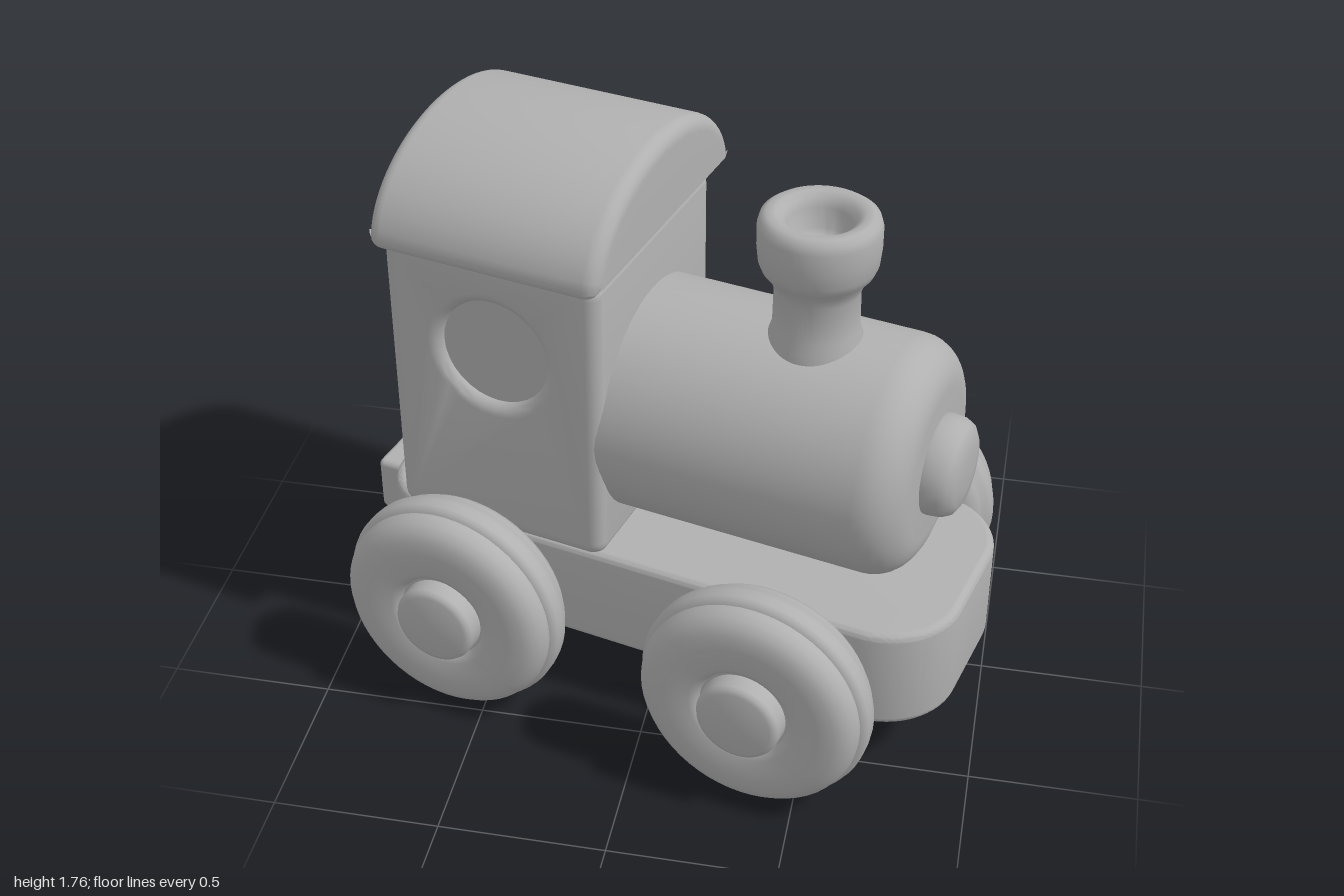
import * as THREE from 'three';
import { toCreasedNormals } from 'three/addons/utils/BufferGeometryUtils.js';
import { RoundedBoxGeometry } from 'three/addons/geometries/RoundedBoxGeometry.js';

// Rounded rectangle between two corners
function roundedRect(x0, y0, x1, y1, r0, r1 = r0) {
  const s = new THREE.Shape();
  s.moveTo(x0 + r0, y0);
  s.lineTo(x1 - r1, y0);
  s.absarc(x1 - r1, y0 + r1, r1, -Math.PI / 2, 0);
  s.lineTo(x1, y1 - r1);
  s.absarc(x1 - r1, y1 - r1, r1, 0, Math.PI / 2);
  s.lineTo(x0 + r0, y1);
  s.absarc(x0 + r0, y1 - r0, r0, Math.PI / 2, Math.PI);
  s.lineTo(x0, y0 + r0);
  s.absarc(x0 + r0, y0 + r0, r0, Math.PI, Math.PI * 1.5);
  return s;
}

// Softly bevelled extrusion, centred on z, with the outline kept at its full size
function softExtrude(shape, width, bevel) {
  const depth = width - 2 * bevel;
  const g = new THREE.ExtrudeGeometry(shape, {
    depth, bevelEnabled: true, bevelSize: bevel, bevelThickness: bevel,
    bevelOffset: -bevel, bevelSegments: 6, curveSegments: 16,
  });
  g.translate(0, 0, -depth / 2);
  return g;
}

// Turned part from [radius, height] pairs, listed from bottom to top
function turned(points) {
  const g = new THREE.LatheGeometry(points.map(([r, y]) => new THREE.Vector2(r, y)), 56);
  return toCreasedNormals(g, 0.85);
}

export function createModel() {
  const model = new THREE.Group();
  const train = new THREE.Group();
  train.name = 'toyTrain';
  train.rotation.y = -THREE.MathUtils.degToRad(14);
  model.add(train);

  const grey = new THREE.MeshStandardMaterial({ color: 0xb0b0b0 });
  grey.name = 'plainGrey';

  function add(name, geometry, x = 0, y = 0, z = 0, parent = train) {
    const mesh = new THREE.Mesh(geometry, grey);
    mesh.name = name;
    mesh.position.set(x, y, z);
    parent.add(mesh);
    return mesh;
  }

  // Chassis with rounded ends, and the rear hitch
  const chassis = softExtrude(roundedRect(-0.86, -0.365, 0.99, 0.365, 0.2, 0.23), 0.34, 0.025);
  chassis.rotateX(-Math.PI / 2);
  add('chassis', toCreasedNormals(chassis, 0.6), 0, 0.38, 0);
  add('hitch', new RoundedBoxGeometry(0.24, 0.19, 0.3, 3, 0.02), -0.885, 0.345, -0.04);

  // Cab with a round recess through both sides, filled by the window discs
  const cabShape = roundedRect(-0.345, 0.53, 0.345, 1.49, 0.05);
  const opening = new THREE.Path();
  opening.absarc(0, 1.17, 0.17, 0, Math.PI * 2, true);
  cabShape.holes.push(opening);
  add('cab', toCreasedNormals(softExtrude(cabShape, 0.77, 0.04), 0.6), -0.405, 0, -0.02);
  const windows = new THREE.CylinderGeometry(0.175, 0.175, 0.71, 48);
  windows.rotateX(Math.PI / 2);
  add('cabWindows', windows, -0.405, 1.17, -0.02);

  // Arched roof
  const arch = new THREE.Shape();
  arch.moveTo(-0.43, 1.48);
  arch.lineTo(0.43, 1.48);
  arch.quadraticCurveTo(0.455, 1.48, 0.455, 1.51);
  arch.bezierCurveTo(0.43, 1.66, 0.24, 1.775, 0, 1.775);
  arch.bezierCurveTo(-0.24, 1.775, -0.43, 1.66, -0.455, 1.51);
  arch.quadraticCurveTo(-0.455, 1.48, -0.43, 1.48);
  const roof = softExtrude(arch, 0.73, 0.045);
  roof.rotateY(Math.PI / 2);
  add('roof', toCreasedNormals(roof, 0.6), -0.395, 0, -0.03);

  // Boiler with a rounded front edge
  const boilerProfile = [[0, -0.2], [0.36, -0.2], [0.36, 0.71]];
  for (let i = 1; i <= 8; i++) {
    const a = (i / 8) * Math.PI / 2;
    boilerProfile.push([0.23 + 0.13 * Math.cos(a), 0.71 + 0.13 * Math.sin(a)]);
  }
  boilerProfile.push([0, 0.84]);
  const boiler = turned(boilerProfile);
  boiler.rotateZ(-Math.PI / 2);
  add('boiler', boiler, 0, 0.932, 0);

  // Round button on the nose
  const nose = turned([[0, 0.79], [0.13, 0.79], [0.147, 0.81], [0.152, 0.85], [0.148, 0.89],
    [0.135, 0.915], [0.11, 0.93], [0.06, 0.936], [0, 0.938]]);
  nose.rotateZ(-Math.PI / 2);
  add('noseCap', nose, 0, 0.935, 0);

  // Chimney with a flared, hollow top
  add('chimney', turned([[0.14, 1.2], [0.135, 1.29], [0.125, 1.32], [0.123, 1.44], [0.135, 1.475],
    [0.16, 1.505], [0.17, 1.53], [0.175, 1.58], [0.175, 1.64], [0.168, 1.665], [0.15, 1.678],
    [0.125, 1.678], [0.105, 1.665], [0.092, 1.64], [0.085, 1.58], [0.07, 1.565], [0, 1.56]]),
  0.457, 0, 0.015);

  // Wheel: two rounded rims, a raised middle band, and a hub set in a shallow groove
  const wheelGeometry = turned([[0, -0.11], [0.24, -0.11], [0.29, -0.105], [0.32, -0.09],
    [0.337, -0.065], [0.34, -0.045], [0.352, -0.035], [0.355, -0.015], [0.355, 0.015],
    [0.35, 0.03], [0.336, 0.036], [0.338, 0.055], [0.33, 0.08], [0.312, 0.1], [0.285, 0.113],
    [0.24, 0.117], [0.165, 0.112], [0.148, 0.105], [0.138, 0.088], [0.13, 0.088], [0.128, 0.135],
    [0.122, 0.147], [0.108, 0.152], [0, 0.154]]);
  wheelGeometry.rotateX(Math.PI / 2);
  const wheels = [['rearLeftWheel', -0.475, -0.575], ['frontLeftWheel', 0.515, -0.555],
    ['rearRightWheel', -0.475, 0.53], ['frontRightWheel', 0.515, 0.53]];
  for (const [name, x, z] of wheels) {
    const wheel = add(name, wheelGeometry, x, 0.365, z);
    if (z < 0) wheel.rotation.y = Math.PI;
  }

  // Axles through the chassis
  for (const x of [-0.475, 0.515]) {
    const axle = new THREE.CylinderGeometry(0.09, 0.09, 1, 32);
    axle.rotateX(Math.PI / 2);
    add('axle', axle, x, 0.365, -0.015);
  }

  return model;
}
